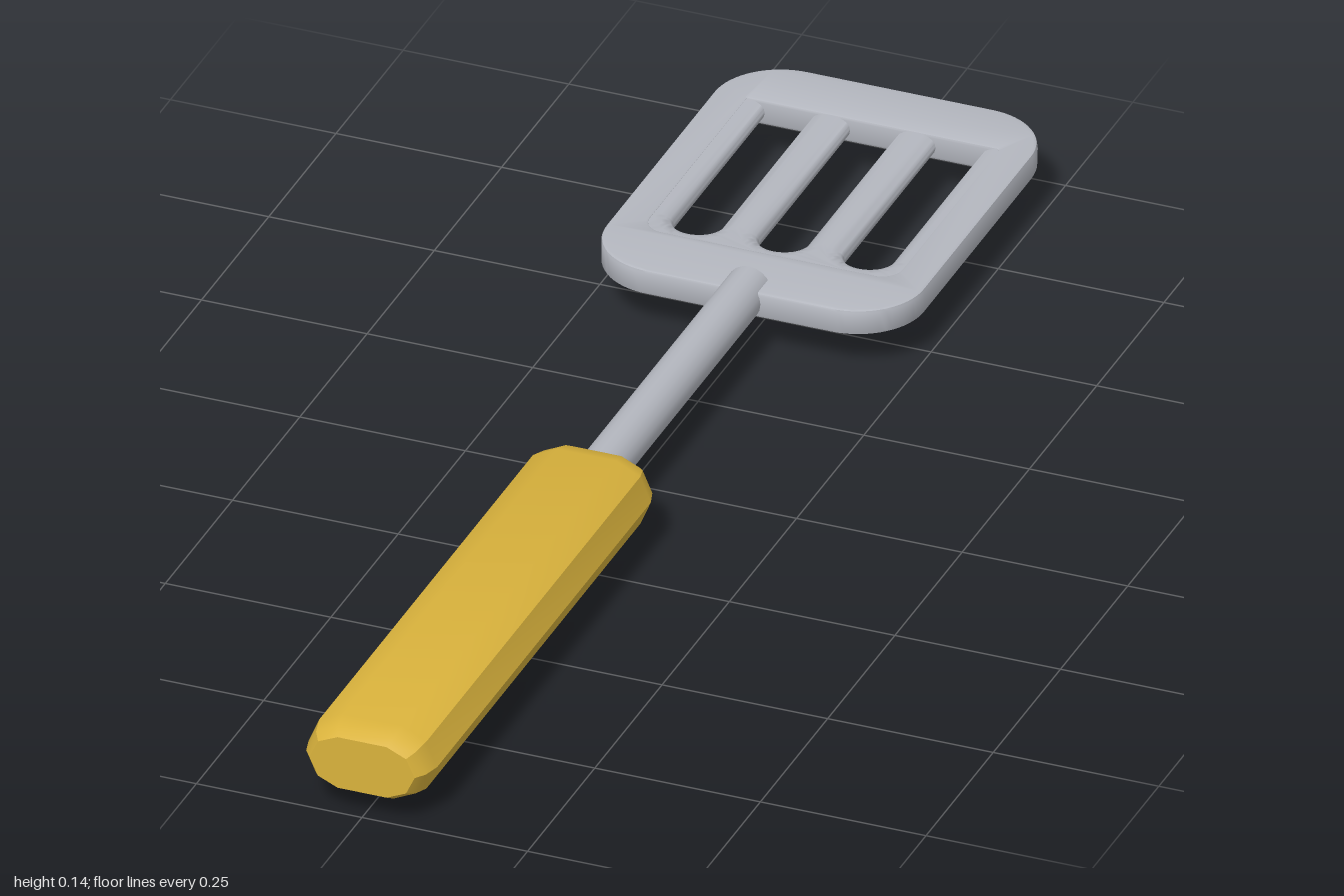
import * as THREE from 'three';
import { toCreasedNormals } from 'three/addons/utils/BufferGeometryUtils.js';

const material = (name, color) => Object.assign(new THREE.MeshStandardMaterial({ color }), { name });

function addMesh(group, name, geometry, mat) {
  const mesh = new THREE.Mesh(geometry, mat);
  mesh.name = name;
  group.add(mesh);
  return mesh;
}

// Rounded rectangle; corner radii given for the low-y and high-y ends
function roundedRect(Type, x0, x1, y0, y1, rLow, rHigh = rLow) {
  const p = new Type();
  p.moveTo(x0 + rLow, y0);
  p.lineTo(x1 - rLow, y0);
  p.absarc(x1 - rLow, y0 + rLow, rLow, -Math.PI / 2, 0);
  p.lineTo(x1, y1 - rHigh);
  p.absarc(x1 - rHigh, y1 - rHigh, rHigh, 0, Math.PI / 2);
  p.lineTo(x0 + rHigh, y1);
  p.absarc(x0 + rHigh, y1 - rHigh, rHigh, Math.PI / 2, Math.PI);
  p.lineTo(x0, y0 + rLow);
  p.absarc(x0 + rLow, y0 + rLow, rLow, Math.PI, Math.PI * 1.5);
  return p;
}

// Horizontal bevelled plate; shape y points to -z
function plate(shape, bottom, top, bevelSize, bevelThickness, bevelSegments) {
  const g = new THREE.ExtrudeGeometry(shape, {
    depth: top - bottom - 2 * bevelThickness, curveSegments: 8,
    bevelEnabled: true, bevelSize, bevelThickness, bevelOffset: -bevelSize, bevelSegments,
  });
  g.translate(0, 0, bottom + bevelThickness);
  g.rotateX(-Math.PI / 2);
  return toCreasedNormals(g, 0.7);
}

// Faceted grip lofted through scaled copies of one cross-section
function gripGeometry() {
  const half = [[0.045, -0.056], [0.081, -0.038], [0.097, 0], [0.081, 0.038], [0.045, 0.056]];
  const section = [...half, ...half.map(([x, y]) => [-x, y]).reverse()];
  const rings = [[0.125, 0.8, 0.72], [0.14, 0.92, 0.88], [0.165, 1, 1], [0.96, 1, 1], [0.985, 0.93, 0.88], [1, 0.82, 0.73]];
  const n = section.length, positions = [], index = [];
  for (const [z, sx, sy] of rings)
    for (const [x, y] of section) positions.push(x * sx, 0.081 + y * sy, z);
  for (let r = 0; r < rings.length - 1; r++)
    for (let i = 0; i < n; i++) {
      const a = r * n + i, b = r * n + (i + 1) % n;
      index.push(a, b, b + n, a, b + n, a + n);
    }
  const last = (rings.length - 1) * n;
  for (let i = 1; i < n - 1; i++) index.push(0, i + 1, i, last, last + i, last + i + 1);
  const g = new THREE.BufferGeometry();
  g.setAttribute('position', new THREE.Float32BufferAttribute(positions, 3));
  g.setIndex(index);
  return toCreasedNormals(g.toNonIndexed(), 0.55);
}

export function createModel() {
  const model = new THREE.Group();
  model.name = 'spatula';
  const metal = material('brushed metal', 0xb4b7bf);
  const yellow = material('yellow grip', 0xd9b23c);
  const dark = material('dark rubber', 0x3a3f4a);

  // Blade rim with one large window
  const rim = roundedRect(THREE.Shape, -0.24, 0.24, 0.4, 1, 0.1);
  rim.holes.push(roundedRect(THREE.Path, -0.19, 0.19, 0.51, 0.9, 0.03, 0.004));
  addMesh(model, 'bladeRim', plate(rim, 0.061, 0.1, 0.004, 0.004, 2), metal);

  // Slotted panel: heavily bevelled slots leave rounded bars
  const panel = roundedRect(THREE.Shape, -0.23, 0.23, 0.47, 0.97, 0.03);
  for (const x of [-0.129, 0, 0.129])
    panel.holes.push(roundedRect(THREE.Path, x - 0.035, x + 0.035, 0.535, 0.925, 0.034, 0.004));
  addMesh(model, 'bladeBars', plate(panel, 0.0625, 0.0985, 0.026, 0.016, 5), metal);

  // Shaft from blade into grip
  const shaft = new THREE.CylinderGeometry(0.033, 0.033, 0.6, 20);
  shaft.rotateX(Math.PI / 2);
  addMesh(model, 'shaft', shaft, metal).position.set(0, 0.083, -0.14);

  addMesh(model, 'grip', gripGeometry(), yellow);

  // Small rest under the grip end
  const profile = [[0, 0], [0.026, 0], [0.03, 0.004], [0.03, 0.035], [0, 0.035]].map(([x, y]) => new THREE.Vector2(x, y));
  const foot = toCreasedNormals(new THREE.LatheGeometry(profile, 16), 0.6);
  addMesh(model, 'restFoot', foot, dark).position.set(0, 0, 0.89);

  return model;
}
